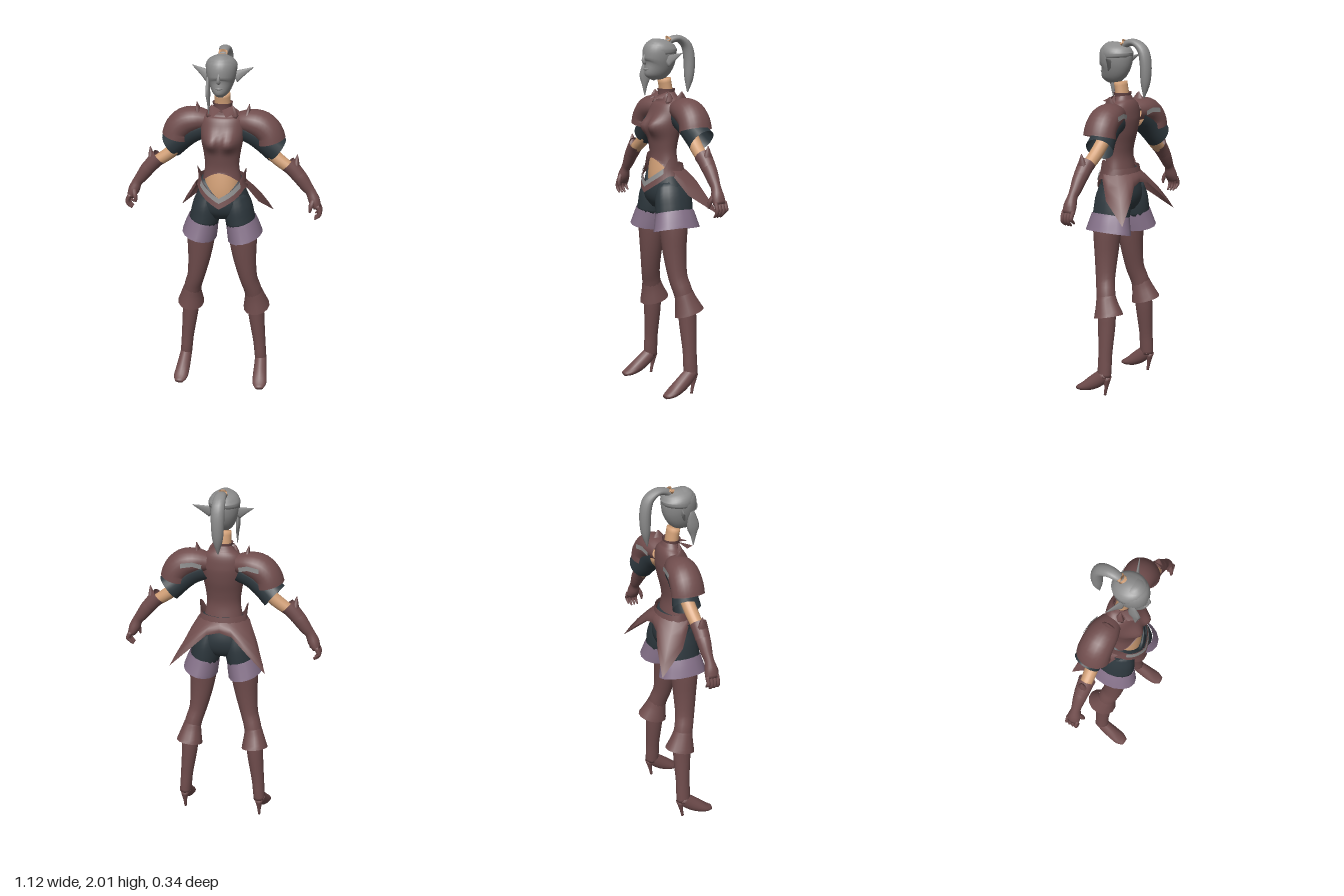
import * as THREE from 'three';

const mat = (name, color) => {
  const m = new THREE.MeshStandardMaterial({ color, side: THREE.DoubleSide });
  m.name = name;
  return m;
};

export function createModel() {
  const root = new THREE.Group();
  const leather = mat('maroon leather', 0x704d4d);
  const grey = mat('grey', 0x8c8c8c);
  const dark = mat('dark cloth', 0x2d373d);
  const lilac = mat('lilac cuff', 0x857189);
  const skin = mat('skin', 0xd2a077);
  const V = (x, y, z) => new THREE.Vector3(x, y, z);

  function add(name, material, positions, index) {
    const g = new THREE.BufferGeometry();
    g.setAttribute('position', new THREE.Float32BufferAttribute(positions, 3));
    g.setIndex(index);
    g.computeVertexNormals();
    const m = new THREE.Mesh(g, material);
    m.name = name;
    root.add(m);
    return m;
  }

  // Smooth tube of ellipses; each ring is [x, y, z, radius across, radius deep]
  function loft(name, material, rings, { ref = 'x', n = 20, sub = 3, caps = true, s = 1, warp } = {}) {
    const path = new THREE.CatmullRomCurve3(rings.map(r => V(r[0] * s, r[1], r[2])), false, 'catmullrom');
    const size = new THREE.CatmullRomCurve3(rings.map(r => V(r[3], r[4], 0)), false, 'catmullrom');
    const count = (rings.length - 1) * sub, pos = [], idx = [];
    const axis = ref === 'x' ? V(1, 0, 0) : V(0, 0, 1);
    for (let i = 0; i <= count; i++) {
      const c = path.getPoint(i / count), r = size.getPoint(i / count), T = path.getTangent(i / count);
      const A = axis.clone().addScaledVector(T, -axis.dot(T)).normalize();
      const B = T.clone().cross(A);
      const [ra, rb] = ref === 'x' ? [r.x, r.y] : [r.y, r.x];
      for (let j = 0; j < n; j++) {
        const a = j / n * Math.PI * 2;
        const p = c.clone().addScaledVector(A, Math.cos(a) * ra).addScaledVector(B, Math.sin(a) * rb);
        if (warp) warp(p);
        pos.push(p.x, p.y, p.z);
        if (i < count) {
          const a0 = i * n + j, a1 = i * n + (j + 1) % n;
          idx.push(a0, a1, a1 + n, a0, a1 + n, a0 + n);
        }
      }
    }
    if (caps) {
      const e = pos.length / 3, last = count * n;
      for (const r of [rings[0], rings[rings.length - 1]]) pos.push(r[0] * s, r[1], r[2]);
      for (let j = 0; j < n; j++) {
        const k = (j + 1) % n;
        idx.push(e, k, j, e + 1, last + j, last + k);
      }
    }
    return add(name, material, pos, idx);
  }

  // Surface through rows of points
  function sheet(name, material, rows) {
    const w = rows[0].length, idx = [];
    for (let i = 0; i < rows.length - 1; i++) for (let j = 0; j < w - 1; j++) {
      const a = i * w + j;
      idx.push(a, a + w, a + 1, a + 1, a + w, a + w + 1);
    }
    return add(name, material, rows.flat().flatMap(p => [p.x, p.y, p.z]), idx);
  }

  // Upright body rings from [y, z, half width, half depth]
  const body = list => list.map(([y, z, a, b]) => [0, y, z, a, b]);

  // Head, neck and hair
  loft('head', grey, body([[1.768, .115, .018, .028], [1.787, .105, .04, .05], [1.83, .072, .066, .085],
    [1.88, .058, .08, .097], [1.93, .053, .08, .094], [1.96, .05, .058, .07], [1.976, .045, .015, .018]]), { n: 28 });
  loft('nose', grey, [[0, 1.9, .147, .006, .006], [0, 1.87, .157, .009, .01], [0, 1.853, .152, .011, .009], [0, 1.846, .143, .004, .004]], { n: 10 });
  loft('lips', grey, [[-.022, 1.818, .136, .003, .003], [0, 1.818, .149, .007, .007], [.022, 1.818, .136, .003, .003]], { ref: 'z', n: 8 });
  loft('hairCap', grey, body([[1.9, .045, .083, .087], [1.93, .047, .084, .092], [1.96, .043, .063, .076], [1.98, .04, .02, .025]]), { n: 28 });
  loft('hairTie', skin, [[0, 1.965, .01, .024, .024], [0, 1.985, -.006, .024, .022]], { sub: 1 });
  loft('ponytail', grey, [[0, 1.95, .015, .02, .018], [0, 1.977, -.02, .026, .02], [0, 1.983, -.07, .032, .02],
    [0, 1.945, -.12, .036, .028], [0, 1.87, -.138, .036, .031], [0, 1.77, -.137, .028, .026], [0, 1.685, -.128, .003, .003]], { n: 14, sub: 4 });
  loft('hairStrand', grey, [[-.066, 1.87, .1, .008, .015], [-.064, 1.785, .11, .012, .036], [-.06, 1.73, .115, .008, .018], [-.06, 1.67, .115, .002, .002]], { n: 8 });
  loft('neck', skin, body([[1.62, .01, .05, .042], [1.7, .015, .044, .036], [1.767, .026, .043, .035]]));

  // Torso
  loft('bodice', leather, body([[1.27, .03, .108, .077], [1.35, .033, .095, .068], [1.42, .033, .101, .076], [1.5, .027, .115, .088],
    [1.58, .012, .124, .084], [1.63, .002, .112, .068], [1.665, .006, .07, .05], [1.69, .01, .05, .042]]), {
    n: 40, sub: 5, caps: false, warp: p => {
      if (p.z < .03) return;
      p.z += .045 * Math.exp(-((Math.abs(p.x) - .05) ** 2 + (p.y - 1.505) ** 2) / .0022);
      p.y = Math.max(p.y, 1.328 - 6 * p.x * p.x);
    },
  });
  loft('collar', leather, body([[1.645, .008, .058, .05], [1.68, .012, .049, .043], [1.71, .012, .056, .048]]), { caps: false });
  loft('belly', skin, body([[1.14, .03, .1, .08], [1.22, .033, .1, .08], [1.3, .033, .095, .071], [1.36, .033, .085, .06]]), { n: 28 });
  loft('shortsSeat', dark, body([[1.05, .02, .1, .07], [1.09, .02, .155, .098], [1.14, .022, .155, .11], [1.2, .025, .138, .102], [1.28, .03, .115, .083]]), {
    n: 36, warp: p => { if (p.z > .03) p.y = Math.min(p.y, 1.17 + Math.abs(p.x) * .9); },
  });

  // Point on the hips at an angle from the front
  const hip = (deg, y, out = 0) => {
    const t = (1.3 - y) / .15, a = deg * Math.PI / 180;
    return V(Math.sin(a) * (.113 + .04 * t + out), y, .028 + Math.cos(a) * (.086 + .028 * t + out));
  };
  // Belt dipping to a point in front, with a raised peak at each side
  const angles = (from, to, step) => Array.from({ length: (to - from) / step + 1 }, (_, i) => from + i * step);
  const dip = d => .1 * Math.max(0, 1 - Math.abs(d) / 65);
  const peak = d => .06 * Math.max(0, 1 - Math.abs(Math.abs(d) - 80) / 25);
  const round = angles(-180, 180, 7.5), front = angles(-52.5, 52.5, 7.5);
  sheet('belt', leather, [
    round.map(d => hip(d, 1.295 - dip(d) + peak(d), .012 + peak(d) * .5)),
    round.map(d => hip(d, 1.275 - dip(d), .012)),
    round.map(d => hip(d, 1.235 - dip(d), .012))]);
  sheet('beltTrim', grey, [front.map(d => hip(d, 1.297 - dip(d), .017)), front.map(d => hip(d, 1.268 - dip(d), .017))]);

  for (const s of [1, -1]) {
    const side = s > 0 ? 'left' : 'right';
    const part = (name, m, rings, opt = {}) => loft(side + name, m, rings, { s, ...opt });
    const open = { caps: false };
    const arm = { ref: 'z' };

    part('Ear', grey, [[.07, 1.858, .05, .032, .01], [.1, 1.876, .036, .023, .008], [.165, 1.906, .01, .002, .002]], { ref: 'z', n: 10 });

    // Collar tab and shoulder peaks
    sheet(side + 'CollarTab', leather, [[V(s * .004, 1.675, .06), V(s * .056, 1.695, .035)], [V(s * .035, 1.655, .125), V(s * .068, 1.66, .075)]]);
    part('InnerPeak', leather, [[.07, 1.63, .03, .022, .03], [.066, 1.665, .03, .013, .016], [.055, 1.695, .03, .002, .002]], { n: 6 });
    part('ShoulderPeak', leather, [[.12, 1.6, 0, .022, .06], [.137, 1.65, 0, .014, .04], [.145, 1.698, 0, .002, .004]], { n: 8 });

    // Coat tail
    const top = [72, 95, 120, 145, 165, 180].map(d => hip(d, 1.27, .008));
    const hem = [[.145, 1.23, .05], [.2, 1.13, -.01], [.27, 1.02, -.165], [.15, 1.13, -.14], [.07, 1.2, -.11], [0, 1.215, -.102]];
    const rows = [0, .25, .5, .75, 1].map(t => top.map((p, i) => {
      const q = p.clone().lerp(V(...hem[i]), t), bulge = .012 * Math.sin(t * Math.PI);
      q.x += bulge; q.z -= bulge;
      q.x = (i === 5 ? 0 : q.x) * s;
      return q;
    }));
    sheet(side + 'CoatTail', leather, rows);

    // Arm, sleeve and shoulder guard
    part('Arm', skin, [[.13, 1.56, -.01, .04, .04], [.22, 1.47, -.01, .037, .037], [.3, 1.395, -.005, .036, .036], [.385, 1.335, 0, .032, .032]], arm);
    part('Sleeve', dark, [[.1, 1.565, -.01, .07, .06], [.17, 1.535, -.012, .07, .065], [.23, 1.49, -.02, .07, .067], [.295, 1.437, -.035, .077, .076]], { ...arm, ...open });
    part('ShoulderGuard', leather, [[.08, 1.595, -.008, .05, .055], [.15, 1.598, -.01, .068, .08], [.21, 1.58, -.012, .078, .087],
      [.252, 1.54, -.014, .077, .09], [.265, 1.495, -.014, .08, .092]], { ...arm, ...open, n: 24 });
    sheet(side + 'ShoulderTrim', grey, [[V(s * .1, 1.6, -.083), V(s * .15, 1.615, -.094), V(s * .215, 1.605, -.1)],
      [V(s * .105, 1.575, -.083), V(s * .15, 1.59, -.095), V(s * .215, 1.58, -.104)]]);

    // Glove, cuff and fingers
    part('GloveCuff', leather, [[.36, 1.368, 0, .046, .046], [.385, 1.345, 0, .043, .043], [.42, 1.305, 0, .04, .04]], { ...arm, ...open });
    part('CuffPeak', leather, [[.405, 1.35, 0, .022, .034], [.409, 1.39, 0, .013, .018], [.412, 1.425, 0, .002, .002]], { n: 8 });
    part('Glove', leather, [[.385, 1.34, 0, .035, .035], [.425, 1.3, 0, .04, .038], [.465, 1.245, 0, .034, .031], [.492, 1.21, .002, .028, .026],
      [.512, 1.165, .004, .032, .036], [.53, 1.125, .002, .023, .037]], arm);
    for (let f = 0; f < 4; f++) {
      const z = .03 - f * .019, drop = f === 3 ? .014 : 0;
      part('Finger' + (f + 1), leather, [[.53, 1.14, z, .013, .011], [.547, 1.105, z, .012, .01], [.542, 1.08 + drop, z, .01, .009], [.52, 1.06 + drop, z, .005, .005]], { ...arm, n: 8 });
    }
    part('Thumb', leather, [[.508, 1.175, .024, .014, .013], [.498, 1.14, .043, .013, .012], [.492, 1.105, .047, .006, .006]], { ...arm, n: 8 });

    // Shorts leg and cuff
    part('ShortsLeg', dark, [[.075, 1.19, .02, .06, .09], [.088, 1.12, .02, .077, .108], [.097, 1.06, .02, .083, .112], [.105, 1.015, .022, .083, .112]]);
    part('ShortsCuff', lilac, [[.106, 1.03, .022, .086, .115], [.118, .985, .022, .094, .126], [.131, .933, .022, .1, .14]], { ...open, n: 16 });

    // Tall boot with flared knee cuff, foot and heel
    part('Boot', leather, [[.117, 1.02, .035, .075, .083], [.12, .93, .037, .08, .078], [.131, .8, .036, .066, .066], [.152, .67, .028, .051, .056],
      [.175, .59, .01, .05, .055], [.19, .5, -.006, .05, .053], [.198, .4, -.01, .046, .05], [.215, .25, -.012, .037, .041],
      [.222, .17, -.012, .035, .042], [.227, .11, -.013, .034, .04]]);
    part('KneeCuff', leather, [[.18, .575, .006, .05, .056], [.187, .53, -.005, .06, .066], [.195, .465, -.022, .077, .088]], { ...open, n: 14 });
    part('Foot', leather, [[.226, .13, -.022, .034, .038], [.229, .092, .02, .037, .042], [.233, .052, .075, .041, .038], [.237, .026, .125, .041, .024],
      [.24, .014, .163, .024, .012]], { n: 16, warp: p => { p.y = Math.max(p.y, 0); } });
    part('Heel', leather, [[.227, .115, -.034, .026, .024], [.228, .05, -.026, .012, .011], [.228, 0, -.017, .007, .008]], { n: 10 });
  }
  return root;
}
